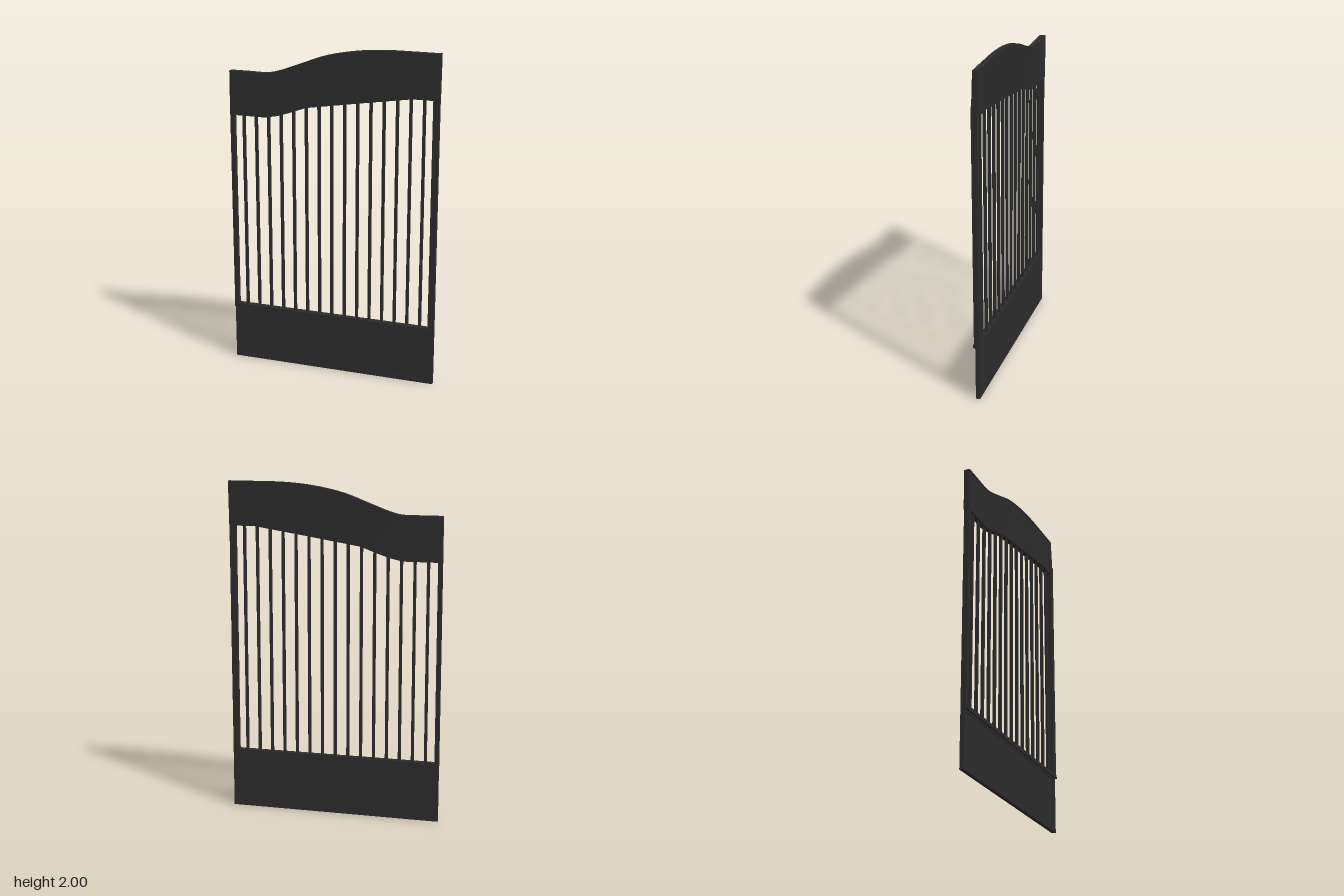
import * as THREE from 'three';

const V = (x, y) => new THREE.Vector2(x, y);

// Smooth S-shaped top edge and the lower edge of the head panel
const topEdge = [V(-0.637, 1.825), V(-0.52, 1.825), V(-0.41, 1.825), V(-0.33, 1.842), V(-0.2, 1.89), V(-0.08, 1.936),
  V(0.03, 1.965), V(0.17, 1.988), V(0.32, 1.999), V(0.48, 2), V(0.637, 2)];
const lowEdge = [V(-0.637, 1.56), V(-0.52, 1.56), V(-0.41, 1.56), V(-0.33, 1.577), V(-0.24, 1.607), V(-0.16, 1.637),
  V(0.16, 1.688), V(0.48, 1.737), V(0.637, 1.737)];

const smooth = (pts) => new THREE.SplineCurve(pts).getPoints(48);

// Height of a sampled edge at a given x
function heightAt(pts, x) {
  for (let i = 1; i < pts.length; i++) {
    const a = pts[i - 1], b = pts[i];
    if (x <= b.x) return a.y + (b.y - a.y) * (x - a.x) / (b.x - a.x);
  }
  return pts[pts.length - 1].y;
}

// Closed outline between two edges, trimmed to x0..x1 and inset vertically
function band(top, low, x0, x1, inset) {
  const trim = (pts, dy) => [
    V(x0, heightAt(pts, x0) + dy),
    ...pts.filter((p) => p.x > x0 + 0.002 && p.x < x1 - 0.002).map((p) => V(p.x, p.y + dy)),
    V(x1, heightAt(pts, x1) + dy)];
  return [...trim(low, inset), ...trim(top, -inset).reverse()];
}

// The taller part of the gate leans very slightly backwards
function lean(geometry) {
  const p = geometry.attributes.position;
  for (let i = 0; i < p.count; i++) {
    p.setZ(i, p.getZ(i) - 0.055 * Math.max(0, p.getY(i) - 1.81));
  }
  geometry.computeVertexNormals();
  return geometry;
}

export function createModel() {
  const gate = new THREE.Group();
  gate.name = 'gate';
  const metal = new THREE.MeshStandardMaterial({ color: 0x2b2b2b });
  metal.name = 'charcoal metal';

  const add = (name, geometry) => {
    const mesh = new THREE.Mesh(geometry, metal);
    mesh.name = name;
    gate.add(mesh);
    return mesh;
  };
  const box = (name, x0, x1, y0, y1, z0, z1) => {
    const g = new THREE.BoxGeometry(x1 - x0, y1 - y0, z1 - z0);
    g.translate((x0 + x1) / 2, (y0 + y1) / 2, (z0 + z1) / 2);
    return add(name, g);
  };
  const plate = (name, outline, hole, z0, z1) => {
    const shape = new THREE.Shape(outline);
    if (hole) shape.holes.push(new THREE.Path(hole));
    const g = new THREE.ExtrudeGeometry(shape, { depth: z1 - z0, bevelEnabled: false });
    g.translate(0, 0, z0);
    return add(name, lean(g));
  };
  const rect = (x0, x1, y0, y1) => [V(x0, y0), V(x1, y0), V(x1, y1), V(x0, y1)];

  // Kick panel with a raised surround
  box('kickPanel', -0.637, 0.637, 0, 0.355, -0.015, 0.005);
  plate('kickPanelFrame', rect(-0.637, 0.637, 0, 0.34), rect(-0.62, 0.605, 0.025, 0.325), 0.005, 0.01);
  box('middleRail', -0.637, 0.637, 0.338, 0.36, -0.015, 0.022);

  // Side posts
  box('rightPost', -0.637, -0.613, 0.355, 1.7, -0.015, 0.018);
  box('leftPost', 0.602, 0.637, 0.355, 1.8, -0.015, 0.018);

  // Curved head panel with a raised surround
  const top = smooth(topEdge);
  const low = lowEdge;
  plate('headPanel', band(top, low, -0.637, 0.637, 0), null, -0.018, 0.012);
  plate('headPanelFrame', band(top, low, -0.637, 0.637, 0),
    band(top, low, -0.605, 0.588, 0.008), 0.012, 0.017);

  // Square upright bars
  for (let i = 0; i < 15; i++) {
    const x = -0.556 + i * 0.0789;
    box('bar', x - 0.008, x + 0.008, 0.35, heightAt(low, x) + 0.03, -0.008, 0.008);
  }
  return gate;
}
